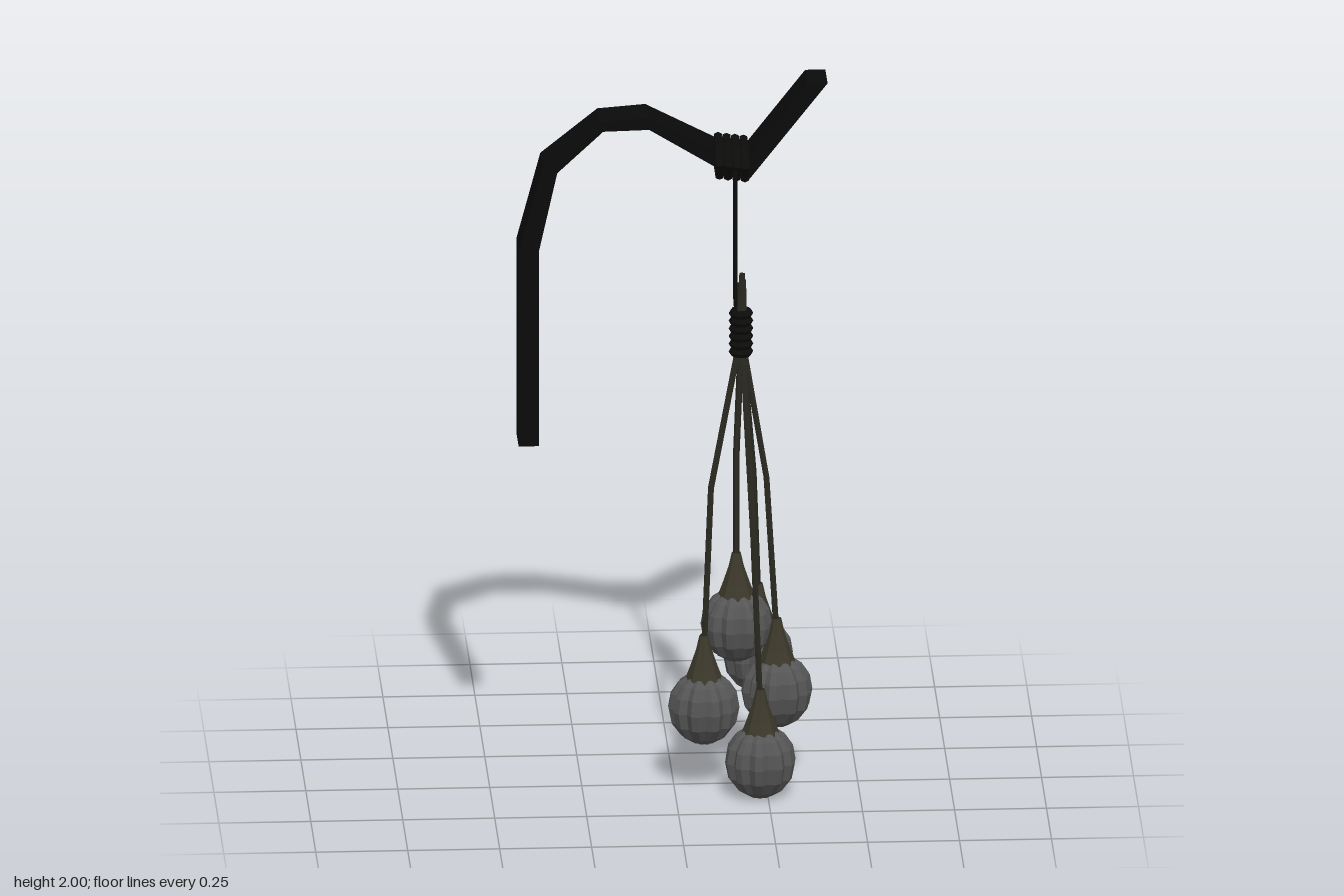
import * as THREE from 'three';

const mat = (color) => new THREE.MeshStandardMaterial({ color, flatShading: true, roughness: 1, side: THREE.DoubleSide });

// Straight-segment path, so tubes keep their kinks
class Polyline extends THREE.Curve {
  constructor(points) {
    super();
    this.points = points.map((p) => new THREE.Vector3(...p));
  }
  getPoint(t, target = new THREE.Vector3()) {
    const n = this.points.length - 1;
    const i = Math.min(Math.floor(t * n), n - 1);
    return target.lerpVectors(this.points[i], this.points[i + 1], t * n - i);
  }
  getPointAt(t, target) { return this.getPoint(t, target); }
  getTangentAt(t, target) { return this.getTangent(t, target); }
}

const vec2 = (list) => list.map(([x, y]) => new THREE.Vector2(x, y));

// Lathe body pinched into cloves
function cloveGeometry(profile, lobes) {
  const geometry = new THREE.LatheGeometry(vec2(profile), lobes * 3);
  const pos = geometry.attributes.position;
  for (let i = 0; i < pos.count; i++) {
    const step = Math.floor(i / profile.length);
    const k = step % 3 === 0 ? 0.87 : 1;
    pos.setX(i, pos.getX(i) * k);
    pos.setZ(i, pos.getZ(i) * k);
  }
  geometry.computeVertexNormals();
  return geometry;
}

export function createModel() {
  const model = new THREE.Group();
  model.name = 'hangingBulbBunch';
  const iron = mat(0x0a0a0a);
  const cord = mat(0x0c0c0b);
  const stemMat = mat(0x2a2920);
  const neckMat = mat(0x3c382b);
  const bulbMat = mat(0x555555);

  const add = (parent, name, geometry, material, x = 0, y = 0, z = 0) => {
    const mesh = new THREE.Mesh(geometry, material);
    mesh.name = name;
    mesh.position.set(x, y, z);
    parent.add(mesh);
    return mesh;
  };
  const tube = (parent, name, points, radius, material) =>
    add(parent, name, new THREE.TubeGeometry(new Polyline(points), points.length - 1, radius, 6), material);

  // Bent flat-bar hook
  const outline = new THREE.Shape(vec2([
    [-0.42, 0.97], [-0.365, 0.97], [-0.365, 1.53], [-0.315, 1.755], [-0.19, 1.872], [-0.065, 1.875],
    [0.155, 1.74], [0.205, 1.725], [0.42, 2], [0.365, 2], [0.19, 1.775], [-0.07, 1.91], [-0.2, 1.9],
    [-0.355, 1.775], [-0.42, 1.53],
  ]));
  add(model, 'hook', new THREE.ExtrudeGeometry(outline, { depth: 0.113, bevelEnabled: false }), iron, 0, 0, -0.142);

  // Cord wound around the hook
  const hookWrap = new THREE.Group();
  hookWrap.name = 'hookWrap';
  const loop = new THREE.TorusGeometry(0.076, 0.012, 6, 6).rotateY(Math.PI / 2).scale(1, 0.7, 1);
  for (let i = 0; i < 4; i++) add(hookWrap, 'hookLoop', loop, cord, 0.127 + i * 0.023, 1.777 - i * 0.003, -0.085);
  model.add(hookWrap);

  // Hanging cord
  tube(model, 'hangingCord', [[0.168, 1.77, -0.012], [0.168, 1.4, -0.012], [0.178, 1.25, -0.008]], 0.007, cord);

  // Cord wound around the stems
  const stemWrap = new THREE.Group();
  stemWrap.name = 'stemWrap';
  const ring = new THREE.TorusGeometry(0.021, 0.0125, 6, 10).rotateX(Math.PI / 2);
  for (let i = 0; i < 6; i++) add(stemWrap, 'stemLoop', ring, cord, 0.183, 1.243 + i * 0.022, -0.002);
  model.add(stemWrap);

  // Bulbs: centre, bend of the stem, tip above the wrap
  const bulbs = [
    { at: [0.08, 0.235, 0.035], bend: [0.1, 0.86, 0.025], tip: [0.186, 1.47, 0.01] },
    { at: [0.17, 0.46, 0.0], bend: [0.17, 0.95, 0.005], tip: [0.182, 1.44, 0] },
    { at: [0.28, 0.27, 0.005], bend: [0.252, 0.88, 0.005], tip: [0.19, 1.42, -0.004] },
    { at: [0.23, 0.1, 0.1], bend: [0.212, 0.73, 0.083], tip: [0.188, 1.45, 0.004] },
    { at: [0.235, 0.335, -0.1], bend: [0.22, 0.87, -0.068], tip: [0.184, 1.4, -0.006] },
  ];
  const bulbGeometry = cloveGeometry([
    [0, -0.1], [0.03, -0.1], [0.062, -0.08], [0.088, -0.045], [0.097, 0],
    [0.09, 0.04], [0.07, 0.07], [0.035, 0.095], [0, 0.1],
  ], 10);
  const neckGeometry = new THREE.LatheGeometry(vec2([[0.055, 0.07], [0.038, 0.115], [0.021, 0.165], [0.012, 0.205]]), 8);

  bulbs.forEach(({ at, bend, tip }, i) => {
    const group = new THREE.Group();
    group.name = 'bulbWithStem';
    const [x, y, z] = at;
    add(group, 'bulb', bulbGeometry, bulbMat, x, y, z).rotation.y = i * 0.7;
    add(group, 'neck', neckGeometry, neckMat, x, y, z);
    const knot = [0.183 + (x - 0.183) * 0.1, 1.24, z * 0.1];
    tube(group, 'stem', [[x, y + 0.15, z], bend, knot, tip], 0.009, stemMat);
    model.add(group);
  });

  return model;
}
